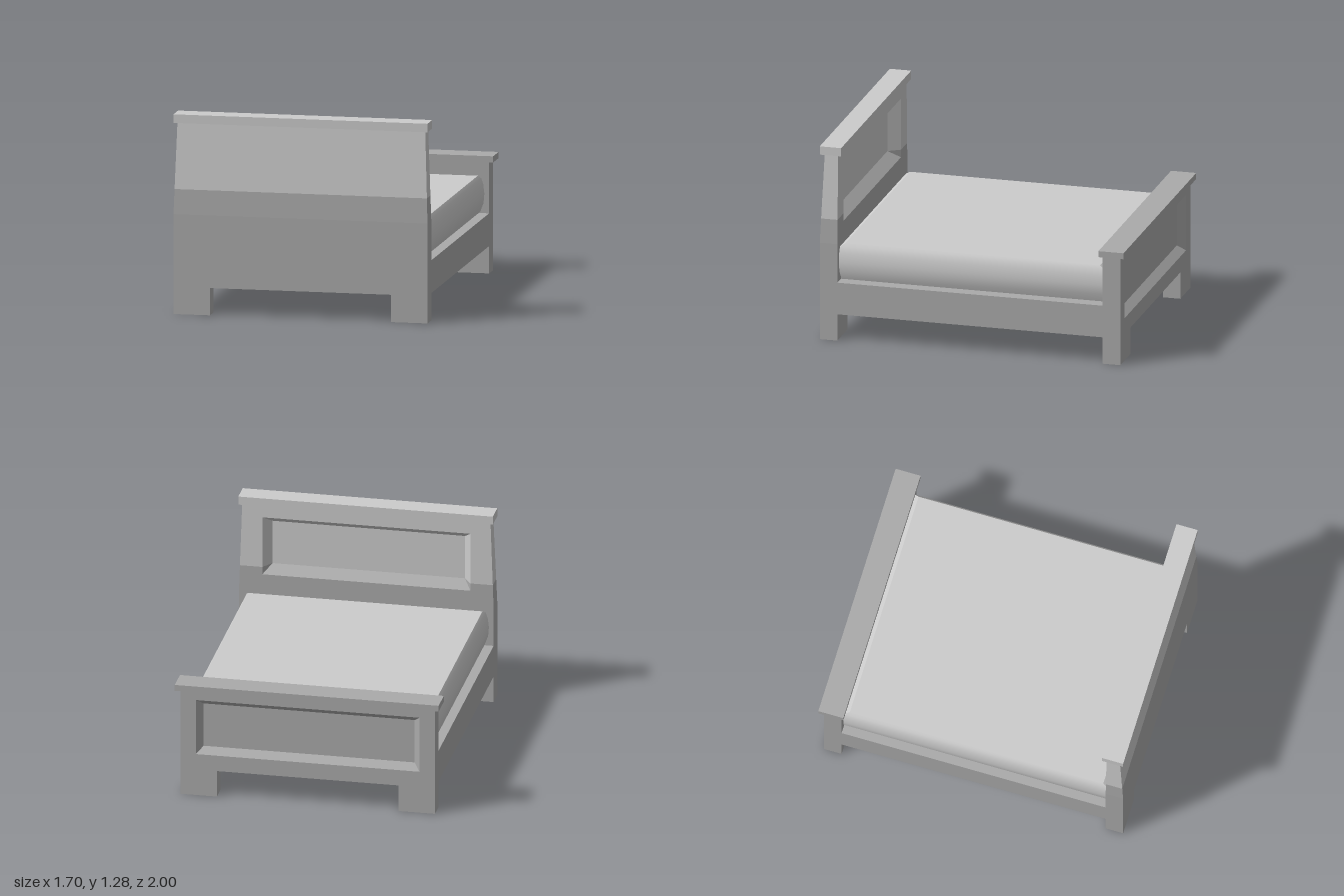
import * as THREE from 'three';
import { toCreasedNormals } from 'three/addons/utils/BufferGeometryUtils.js';

const lightGrey = new THREE.MeshStandardMaterial({ color: 0xcccccc });
lightGrey.name = 'lightGrey';
const darkGrey = new THREE.MeshStandardMaterial({ color: 0xaaaaaa });
darkGrey.name = 'darkGrey';

const LEG = 0.175; // height of the underside
const HX = 0.82; // half width of the bed

function addMesh(group, name, geometry, material) {
  const mesh = new THREE.Mesh(geometry, material);
  mesh.name = name;
  group.add(mesh);
}

// Box given by its lower and upper corners
function addBox(group, name, material, [x0, y0, z0], [x1, y1, z1]) {
  const geo = new THREE.BoxGeometry(x1 - x0, y1 - y0, z1 - z0);
  geo.translate((x0 + x1) / 2, (y0 + y1) / 2, (z0 + z1) / 2);
  addMesh(group, name, geo, material);
}

// Flat-shaded geometry from convex polygons
function polygonGeometry(polys) {
  const pos = [];
  for (const p of polys)
    for (let i = 1; i + 1 < p.length; i++) pos.push(...p[0], ...p[i], ...p[i + 1]);
  const geo = new THREE.BufferGeometry();
  geo.setAttribute('position', new THREE.Float32BufferAttribute(pos, 3));
  geo.computeVertexNormals();
  return geo;
}

// Part of a polygon above (sign 1) or below (sign -1) a height
function clip(poly, height, sign) {
  const out = [];
  poly.forEach((a, i) => {
    const b = poly[(i + 1) % poly.length];
    const da = sign * (a[1] - height), db = sign * (b[1] - height);
    if (da >= 0) out.push(a);
    if (da * db < 0) out.push(a.map((v, k) => v + (b[k] - v) * da / (da - db)));
  });
  return out;
}

// Upright board with legs and a bevelled recess in its -z face
function makeBoard(name, o) {
  const group = new THREE.Group();
  group.name = name;
  const { zIn, zOut, taperY, top, recess: r } = o;
  const t = (y) => Math.max(0, (y - taperY) / (top - taperY));
  const w = (y) => HX - o.taperX * t(y);
  const zb = (y) => zOut - o.taperZ * t(y);
  const levels = [LEG, taperY, r.y0, r.y1, top];
  const polys = [[[-HX, LEG, zIn], [HX, LEG, zIn], [HX, LEG, zOut], [-HX, LEG, zOut]]];

  for (let i = 0; i < 4; i++) {
    const a = levels[i], b = levels[i + 1];
    const wa = w(a), wb = w(b), za = zb(a), zc = zb(b);
    polys.push([[-wa, a, za], [wa, a, za], [wb, b, zc], [-wb, b, zc]]);
    polys.push([[wa, a, za], [wa, a, zIn], [wb, b, zIn], [wb, b, zc]]);
    polys.push([[-wa, a, zIn], [-wa, a, za], [-wb, b, zc], [-wb, b, zIn]]);
    if (i === 2) { // stiles either side of the recess
      polys.push([[wa, a, zIn], [r.x, a, zIn], [r.x, b, zIn], [wb, b, zIn]]);
      polys.push([[-r.x, a, zIn], [-wa, a, zIn], [-wb, b, zIn], [-r.x, b, zIn]]);
    } else {
      polys.push([[wa, a, zIn], [-wa, a, zIn], [-wb, b, zIn], [wb, b, zIn]]);
    }
  }

  // Recess walls and panel
  const rect = (s, z) => [
    [r.x - s, r.y0 + s, z], [s - r.x, r.y0 + s, z],
    [s - r.x, r.y1 - s, z], [r.x - s, r.y1 - s, z]];
  const outer = rect(0, zIn), inner = rect(r.inset, zIn + r.depth);
  for (let k = 0; k < 4; k++) {
    const n = (k + 1) % 4;
    polys.push([outer[k], outer[n], inner[n], inner[k]]);
  }
  polys.push(inner);

  // Dark below the split height, light above it
  addMesh(group, name + 'Lower', polygonGeometry(polys.map((p) => clip(p, o.split, -1))), darkGrey);
  if (o.split < top)
    addMesh(group, name + 'Upper', polygonGeometry(polys.map((p) => clip(p, o.split, 1))), lightGrey);

  for (const [side, x0, x1] of [['left', 0.585, HX], ['right', -HX, -0.585]])
    addBox(group, side + 'Leg', darkGrey, [x0, 0, zIn], [x1, LEG, zOut]);
  return group;
}

// Mattress from stacked rectangular rings: [half width, y, end inset]
function mattressGeometry() {
  const rings = [
    [0.765, 0.395, 0.012], [0.785, 0.45, 0.004], [0.79, 0.51, 0.002],
    [0.783, 0.57, 0.002], [0.77, 0.61, 0.004], [0.755, 0.63, 0.035],
  ].map(([x, y, e]) => {
    const z0 = -0.855 + e, z1 = 0.885 - e;
    return [[-x, y, z1], [x, y, z1], [x, y, z0], [-x, y, z0]];
  });
  const polys = [[...rings[0]].reverse(), rings[rings.length - 1]];
  for (let i = 0; i + 1 < rings.length; i++)
    for (let k = 0; k < 4; k++) {
      const n = (k + 1) % 4;
      polys.push([rings[i][k], rings[i][n], rings[i + 1][n], rings[i + 1][k]]);
    }
  return toCreasedNormals(polygonGeometry(polys), 0.5);
}

export function createModel() {
  const bed = new THREE.Group();
  bed.name = 'bed';

  // Tall tapering headboard
  const head = makeBoard('headboard', {
    zIn: 0.885, zOut: 1, top: 1.225, taperY: 0.64, taperX: 0.02, taperZ: 0.027, split: 0.8,
    recess: { x: 0.67, y0: 0.75, y1: 1.14, inset: 0.05, depth: 0.075 },
  });
  addBox(head, 'headboardCap', lightGrey, [-HX, 1.225, 0.86], [HX, 1.28, 1]);

  // Low straight footboard
  const foot = makeBoard('footboard', {
    zIn: -0.97, zOut: -0.855, top: 0.715, taperY: 0.22, taperX: 0, taperZ: 0, split: 5,
    recess: { x: 0.72, y0: 0.28, y1: 0.65, inset: 0.04, depth: 0.05 },
  });
  addBox(foot, 'footboardCap', darkGrey, [-0.85, 0.715, -1], [0.85, 0.755, -0.835]);
  bed.add(head, foot);

  // Base with side rails, and mattress
  addBox(bed, 'bedBase', darkGrey, [-HX, LEG, -0.855], [HX, 0.385, 0.885]);
  addMesh(bed, 'mattress', mattressGeometry(), lightGrey);
  return bed;
}
